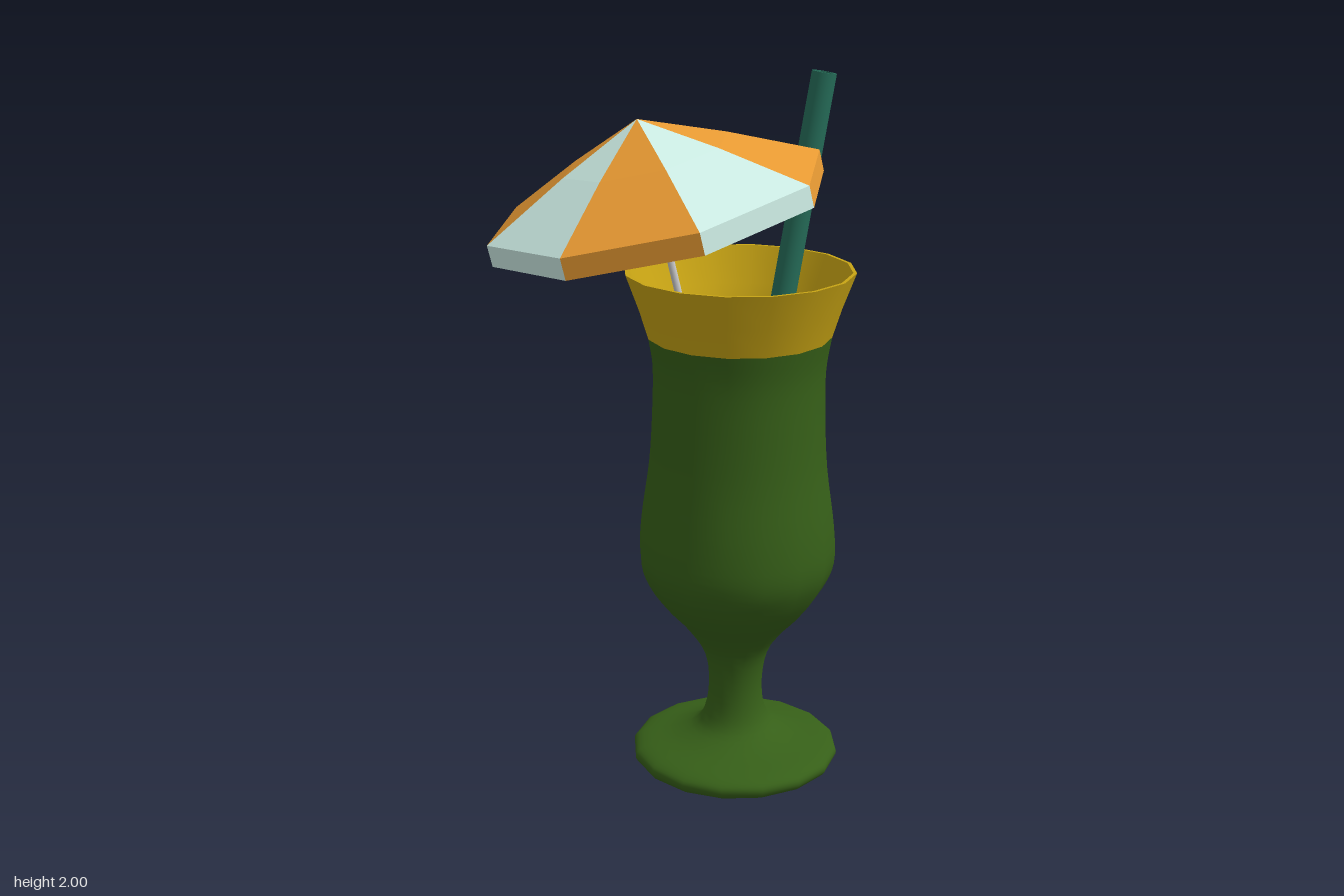
import * as THREE from 'three';

const GREEN = 0x365f18, GOLD = 0xc8a414, TEAL = 0x266e5a, ORANGE = 0xe89a33, MINT = 0xd0f0e8, GREY = 0xcccccc;
const CX = 0.185, CZ = -0.035; // axis of the glass

const mat = (color, extra = {}) => new THREE.MeshStandardMaterial({ color, ...extra });
const vecs = (pts) => pts.map(([r, y]) => new THREE.Vector2(r, y));

function add(parent, name, geometry, material) {
  const mesh = new THREE.Mesh(geometry, material);
  mesh.name = name;
  parent.add(mesh);
  return mesh;
}

// Points a group's +y axis along a direction leaning by an angle in the xy plane
function leaning(name, x, y, z, angle) {
  const g = new THREE.Group();
  g.name = name;
  g.position.set(x, y, z);
  g.rotation.z = angle;
  return g;
}

function createGlass() {
  const glass = new THREE.Group();
  glass.name = 'glass';
  glass.position.set(CX, 0, CZ);

  // Foot, stem and bowl as one smooth turned profile
  const outline = new THREE.SplineCurve(vecs([
    [0, 0.003], [0.19, 0.008], [0.275, 0.03], [0.297, 0.06], [0.27, 0.085], [0.17, 0.112],
    [0.1, 0.155], [0.077, 0.25], [0.09, 0.36], [0.14, 0.44], [0.19, 0.495], [0.245, 0.57],
    [0.276, 0.65], [0.273, 0.76], [0.25, 0.93], [0.241, 1.08], [0.24, 1.21], [0.254, 1.305],
  ]));
  const profile = outline.getPoints(68);
  profile[0].x = 0;
  add(glass, 'body', new THREE.LatheGeometry(profile, 16), mat(GREEN));

  // Flared rim: outer band, lip and inner slope kept separate for crisp edges
  const gold = mat(GOLD);
  const rings = {
    rimBand: [[0.254, 1.305], [0.279, 1.385], [0.316, 1.485]],
    rimLip: [[0.316, 1.485], [0.306, 1.485]],
    rimInside: [[0.306, 1.485], [0.262, 1.385], [0.222, 1.3], [0.214, 1.25]],
  };
  for (const [name, pts] of Object.entries(rings)) add(glass, name, new THREE.LatheGeometry(vecs(pts), 16), gold);

  // Drink surface
  const drink = add(glass, 'drink', new THREE.CircleGeometry(0.222, 16), mat(TEAL));
  drink.rotation.x = -Math.PI / 2;
  drink.position.y = 1.28;
  return glass;
}

function createStraw() {
  // Origin at the upper end, running down into the drink
  const straw = leaning('straw', 0.437, 1.994, -0.113, -0.168);
  const ro = 0.034, ri = 0.025, len = 1.1;
  const teal = mat(TEAL, { side: THREE.DoubleSide });
  const walls = {
    strawOutside: [[ro, -len], [ro, 0]],
    strawRim: [[ro, 0], [ri, 0]],
    strawInside: [[ri, 0], [ri, -len]],
  };
  for (const [name, pts] of Object.entries(walls)) add(straw, name, new THREE.LatheGeometry(vecs(pts), 16), teal);
  return straw;
}

function createUmbrella() {
  // Origin at the tip of the canopy, axis tilted
  const umbrella = leaning('umbrella', -0.105, 1.905, 0, 0.233);
  const rings = [[0, 0], [0.225, -0.096], [0.46, -0.211], [0.46, -0.269]];
  const colours = [mat(ORANGE), mat(MINT)];
  for (const m of colours) { m.side = THREE.DoubleSide; m.flatShading = true; }

  // Eight panels in alternating colours, each with its hanging skirt
  for (let k = 0; k < 8; k++) {
    const at = ([r, y], i) => {
      const a = ((k + i) * Math.PI) / 4;
      return [r * Math.cos(a), y, r * Math.sin(a)];
    };
    const pos = [];
    for (let j = 0; j < rings.length - 1; j++) {
      const a = at(rings[j], 0), b = at(rings[j], 1), c = at(rings[j + 1], 0), d = at(rings[j + 1], 1);
      pos.push(...a, ...d, ...c);
      if (j > 0) pos.push(...a, ...b, ...d);
    }
    const g = new THREE.BufferGeometry();
    g.setAttribute('position', new THREE.Float32BufferAttribute(pos, 3));
    g.computeVertexNormals();
    add(umbrella, 'canopyPanel' + (k + 1), g, colours[k % 2]);
  }

  // Stick from the tip down into the glass
  const stick = add(umbrella, 'stick', new THREE.CylinderGeometry(0.01, 0.01, 0.74, 8), mat(GREY));
  stick.position.y = -0.38;
  return umbrella;
}

export function createModel() {
  const model = new THREE.Group();
  model.name = 'cocktail';
  model.add(createGlass(), createStraw(), createUmbrella());
  return model;
}
